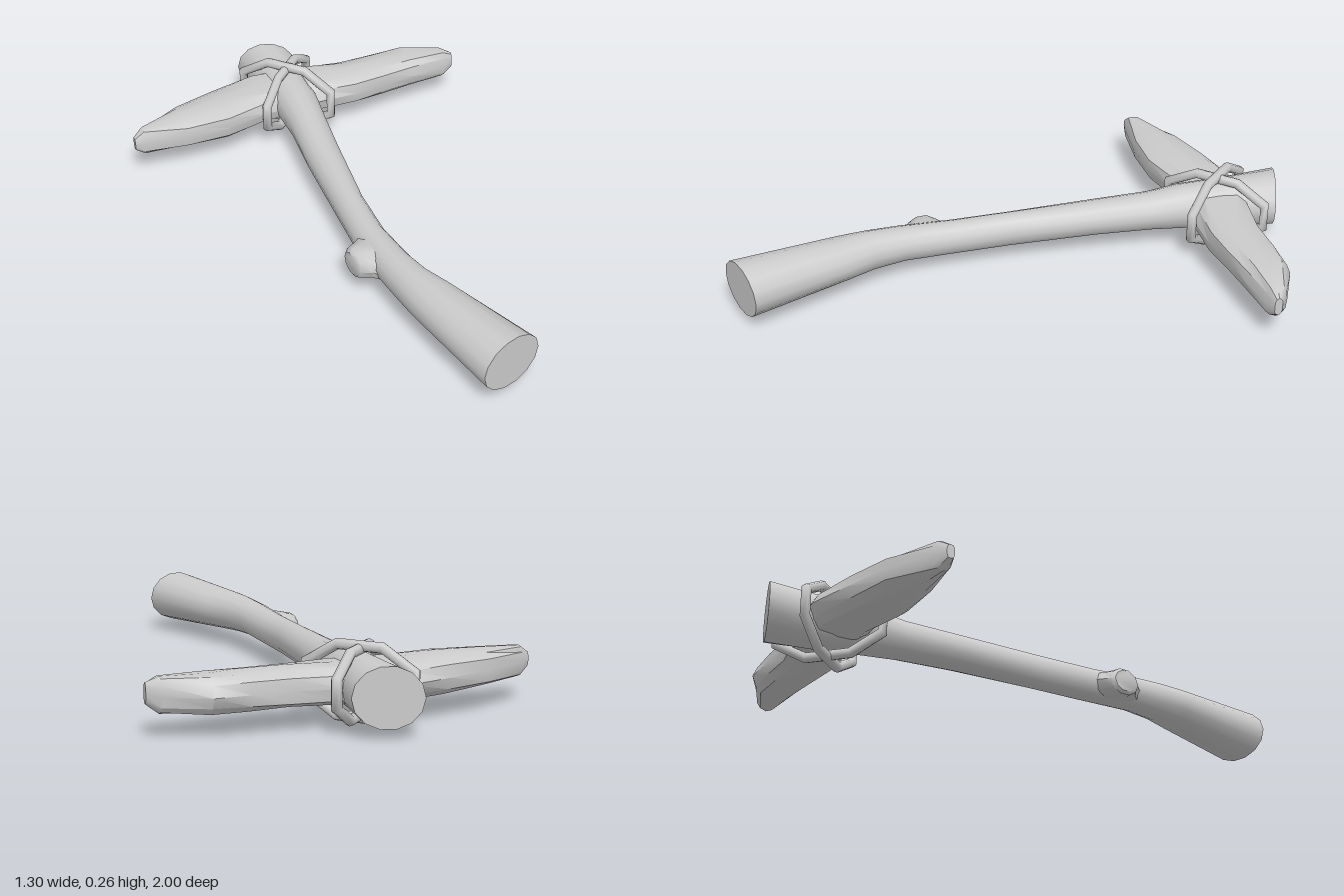
import * as THREE from 'three';
import { toCreasedNormals } from 'three/addons/utils/BufferGeometryUtils.js';

const material = new THREE.MeshStandardMaterial({ color: 0xcccccc });

// Skin a row of upright oval sections, each [ax, az, bx, bz, yLow, yHigh], with closed ends.
// power < 1 squares the oval off; chip dents it irregularly.
function loft(sections, sides, { power = 1, chip = 0, crease = 0.6 } = {}) {
  const pos = [], index = [];
  const soften = (v) => Math.sign(v) * Math.abs(v) ** power;
  sections.forEach(([ax, az, bx, bz, y0, y1], i) => {
    for (let j = 0; j < sides; j++) {
      const t = (j / sides) * Math.PI * 2;
      const dent = 1 - chip * (0.5 + 0.5 * Math.sin(i * 4.7 + j * 2.9));
      const u = soften(Math.cos(t)) * dent, v = soften(Math.sin(t)) * dent;
      pos.push(
        (ax + bx) / 2 + u * (bx - ax) / 2,
        (y0 + y1) / 2 + v * (y1 - y0) / 2,
        (az + bz) / 2 + u * (bz - az) / 2
      );
    }
  });
  const last = (sections.length - 1) * sides;
  for (let i = 0; i < last; i += sides) {
    for (let j = 0; j < sides; j++) {
      const a = i + j, b = i + (j + 1) % sides;
      index.push(a, a + sides, b, b, a + sides, b + sides);
    }
  }
  for (let j = 1; j < sides - 1; j++) {
    index.push(0, j, j + 1, last, last + j + 1, last + j);
  }
  const g = new THREE.BufferGeometry();
  g.setAttribute('position', new THREE.Float32BufferAttribute(pos, 3));
  g.setIndex(index);
  return toCreasedNormals(g, crease);
}

// Closed eight-sided cord loop, standing upright and turned about y
function cordLoop(halfWidth, halfHeight, turn) {
  const points = [];
  for (let k = 0; k < 8; k++) {
    const t = ((k + 0.5) / 8) * Math.PI * 2;
    points.push(new THREE.Vector3(Math.cos(t) * halfWidth, Math.sin(t) * halfHeight, 0));
  }
  const path = new THREE.CurvePath();
  points.forEach((p, k) => path.add(new THREE.LineCurve3(p, points[(k + 1) % 8])));
  // Step through the corners themselves rather than by arc length
  path.getPointAt = (u) => path.curves[Math.floor(u * 8 + 1e-6) % 8].v1.clone();
  path.getTangentAt = (u) => {
    const k = Math.floor(u * 8 + 1e-6) % 8;
    return points[(k + 1) % 8].clone().sub(points[(k + 7) % 8]).normalize();
  };
  return new THREE.TubeGeometry(path, 8, 0.018, 8, true).rotateY(turn);
}

export function createModel() {
  const model = new THREE.Group();
  const add = (name, geometry) => {
    const mesh = new THREE.Mesh(geometry, material);
    mesh.name = name;
    model.add(mesh);
    return mesh;
  };

  // Bent branch, from the grip end to the head end, both sawn at a slant
  add('handle', loft([
    [-0.02, 0.995, 0.20, 0.92, 0.033, 0.217],
    [-0.095, 0.61, 0.075, 0.59, 0.052, 0.198],
    [-0.107, 0.51, 0.03, 0.49, 0.056, 0.192],
    [-0.12, 0.39, 0.006, 0.38, 0.06, 0.183],
    [-0.127, 0.2, -0.012, 0.2, 0.052, 0.172],
    [-0.12, 0, -0.01, 0, 0.055, 0.177],
    [-0.112, -0.3, 0.02, -0.3, 0.066, 0.19],
    [-0.097, -0.5, 0.043, -0.5, 0.068, 0.204],
    [-0.1, -0.62, 0.058, -0.62, 0.06, 0.222],
    [-0.108, -0.8, 0.068, -0.8, 0.042, 0.225],
    [-0.132, -1.0, 0.082, -0.94, 0.03, 0.225],
  ], 14));

  // Stump of a side twig
  add('knot', loft([
    [-0.09, 0.42, -0.09, 0.17, 0.06, 0.165],
    [-0.128, 0.375, -0.135, 0.215, 0.06, 0.16],
    [-0.162, 0.352, -0.17, 0.235, 0.056, 0.154],
    [-0.17, 0.34, -0.18, 0.248, 0.066, 0.144],
  ], 10, { crease: 0.7 }));

  // Chipped stone blade, from the right tip to the left tip
  add('stoneHead', loft([
    [-0.655, -0.637, -0.655, -0.608, 0.11, 0.16],
    [-0.62, -0.662, -0.62, -0.602, 0.08, 0.187],
    [-0.46, -0.757, -0.46, -0.582, 0.072, 0.196],
    [-0.3, -0.812, -0.3, -0.58, 0.066, 0.203],
    [-0.14, -0.86, -0.14, -0.625, 0.068, 0.202],
    [0.06, -0.85, 0.06, -0.633, 0.067, 0.202],
    [0.22, -0.824, 0.22, -0.633, 0.066, 0.198],
    [0.35, -0.832, 0.35, -0.648, 0.068, 0.199],
    [0.47, -0.835, 0.47, -0.666, 0.07, 0.197],
    [0.61, -0.768, 0.61, -0.69, 0.074, 0.193],
    [0.65, -0.735, 0.65, -0.706, 0.105, 0.172],
  ], 12, { power: 0.75, chip: 0.08, crease: 0.5 }));

  // Two cord loops crossing over the joint
  const binding = new THREE.Group();
  binding.name = 'binding';
  binding.position.set(-0.02, 0.13, -0.75);
  model.add(binding);
  [-1, 1].forEach((s) => {
    const cord = add(s < 0 ? 'cordA' : 'cordB',
      cordLoop(0.2, s < 0 ? 0.122 : 0.113, s * Math.PI * 0.26));
    binding.add(cord);
  });

  return model;
}
